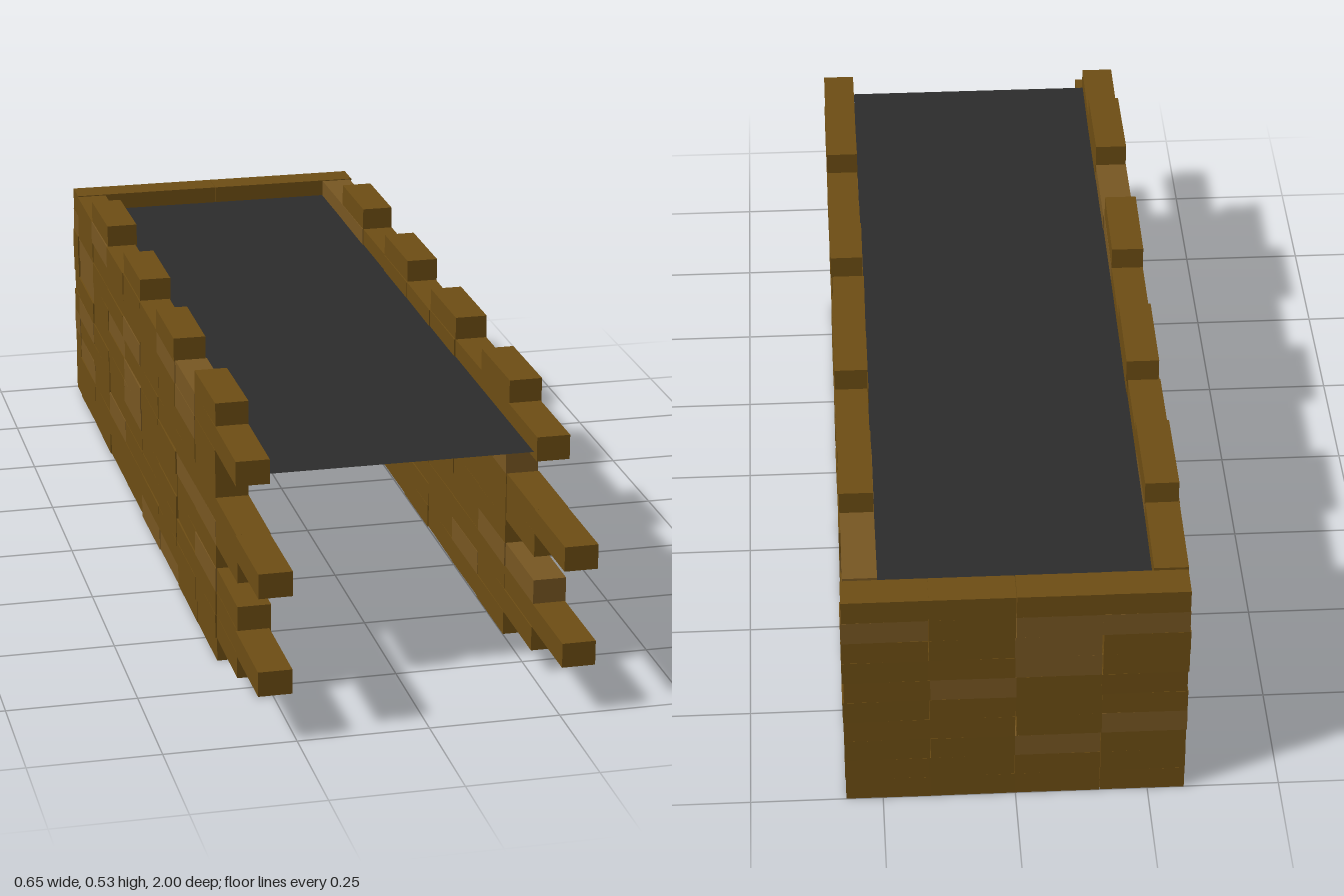
import * as THREE from 'three';

const ROW = 0.048;      // course height
const LEN = 0.193;      // side brick length
const THICK = 0.064;    // wall thickness
const BACK = 0.32;      // half width of the back wall

export function createModel() {
  const model = new THREE.Group();
  model.name = 'brickPassage';

  const brown = new THREE.MeshStandardMaterial({ color: 0x6e4e14 });
  const lightBrown = new THREE.MeshStandardMaterial({ color: 0x785722 });
  const dark = new THREE.MeshStandardMaterial({ color: 0x2c2c2c, side: THREE.DoubleSide });

  // Small seeded generator for the hand-laid unevenness
  let seed = 7;
  const rand = () => (seed = (seed * 16807) % 2147483647) / 2147483647;
  const jitter = (a) => (rand() - 0.5) * 2 * a;

  const sideBrick = new THREE.BoxGeometry(THICK, ROW, LEN);
  const backBrick = new THREE.BoxGeometry(BACK / 2, ROW, THICK);

  function addBrick(parent, geometry, name, x, y, z) {
    const brick = new THREE.Mesh(geometry, rand() < 0.22 ? lightBrown : brown);
    brick.name = name;
    brick.position.set(x + jitter(0.002), y, z);
    brick.rotation.y = jitter(0.008);
    parent.add(brick);
  }

  // Side walls: bricks per course, giving the ragged front ends
  const courses = [8, 9, 10, 9, 8, 9, 10, 8, 8, 9];
  const zBack = -0.93;
  for (const [name, x] of [['leftWall', 0.284], ['rightWall', -0.289]]) {
    const wall = new THREE.Group();
    wall.name = name;
    courses.forEach((count, row) => {
      for (let i = 0; i < count; i++) {
        addBrick(wall, sideBrick, 'wallBrick', x, (row + 0.5) * ROW, zBack + (i + 0.5) * LEN);
      }
    });
    // Battlement bricks on every second position
    for (let i = 1; i < 8; i += 2) {
      addBrick(wall, sideBrick, 'battlementBrick', x, 10.45 * ROW, zBack + (i + 0.5) * LEN);
    }
    model.add(wall);
  }

  // Back wall: four bricks across, ten courses
  const backWall = new THREE.Group();
  backWall.name = 'backWall';
  for (let row = 0; row < 10; row++) {
    for (let i = 0; i < 4; i++) {
      addBrick(backWall, backBrick, 'backBrick', -BACK + (i + 0.5) * BACK / 2,
        (row + 0.5) * ROW, -1 + THICK / 2);
    }
  }
  model.add(backWall);

  // Flat deck sunk just below the wall tops
  const deck = new THREE.Mesh(new THREE.PlaneGeometry(0.51, 1.73), dark);
  deck.name = 'deck';
  deck.rotation.x = -Math.PI / 2;
  deck.position.set(-0.003, 0.445, -0.075);
  model.add(deck);

  return model;
}
